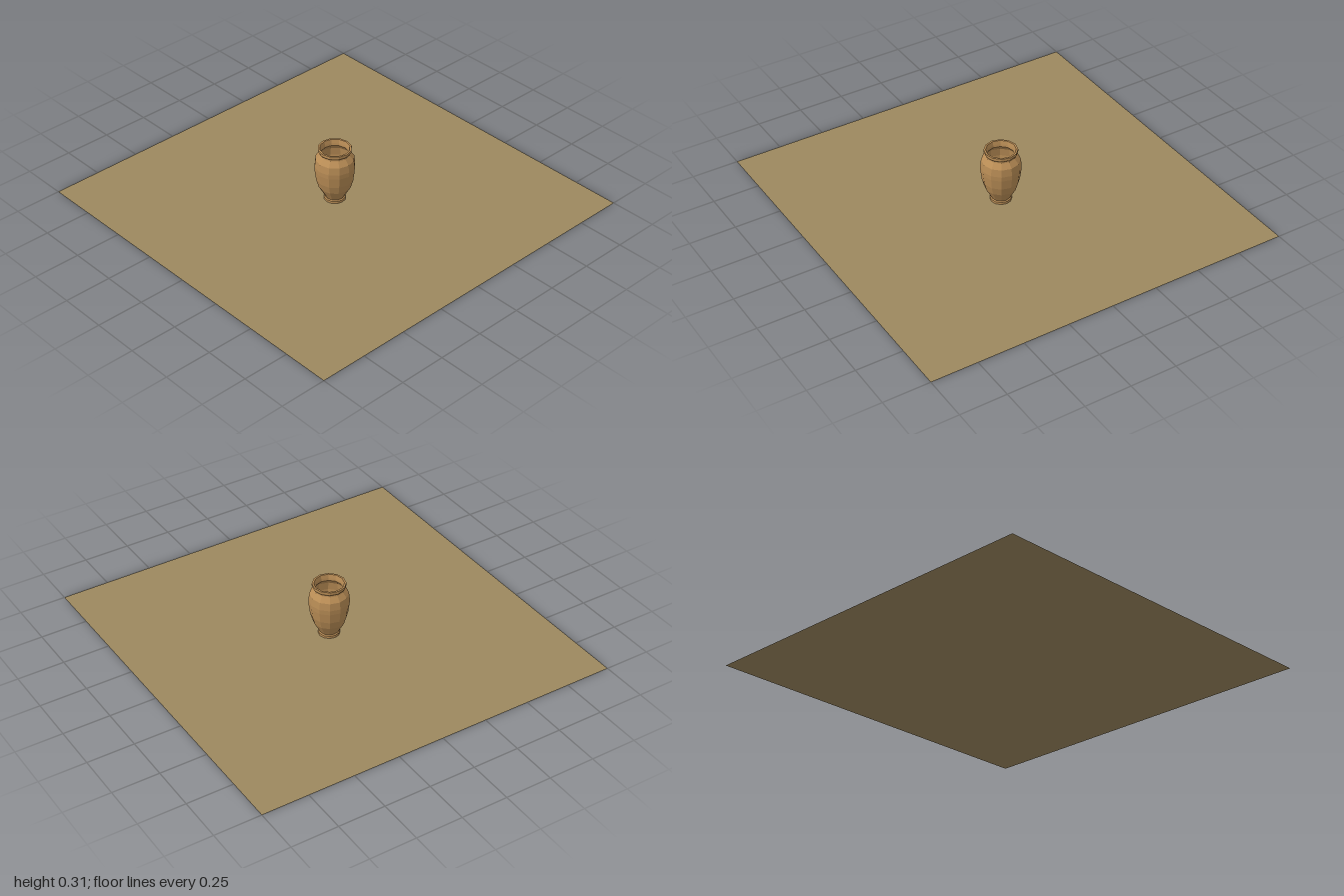
import * as THREE from 'three';

export function createModel() {
  const group = new THREE.Group();
  const clay = new THREE.MeshStandardMaterial({ color: 0xb88c55, flatShading: true });
  clay.name = 'clay';
  const sand = new THREE.MeshStandardMaterial({ color: 0x9c885f, side: THREE.DoubleSide });
  sand.name = 'sand';

  // Flat square ground sheet
  const ground = new THREE.Mesh(new THREE.PlaneGeometry(2, 2).rotateX(-Math.PI / 2), sand);
  ground.name = 'ground';
  group.add(ground);

  // Twelve-sided hollow jar: up the outside, over the rim, down the inside
  const profile = [
    [0, 0], [0.056, 0], [0.056, 0.013], [0.05, 0.018],
    [0.06, 0.037], [0.084, 0.08], [0.097, 0.125], [0.104, 0.18], [0.105, 0.205],
    [0.1, 0.245], [0.078, 0.272], [0.076, 0.28],
    [0.083, 0.285], [0.087, 0.292], [0.087, 0.305],
    [0.077, 0.305], [0.072, 0.285], [0.07, 0.272],
    [0.092, 0.243], [0.097, 0.2], [0.09, 0.125], [0.076, 0.08], [0.043, 0.025], [0, 0.025],
  ].map(([r, y]) => new THREE.Vector2(r, y));
  const jar = new THREE.Mesh(new THREE.LatheGeometry(profile, 12), clay);
  jar.name = 'jar';
  group.add(jar);

  return group;
}
